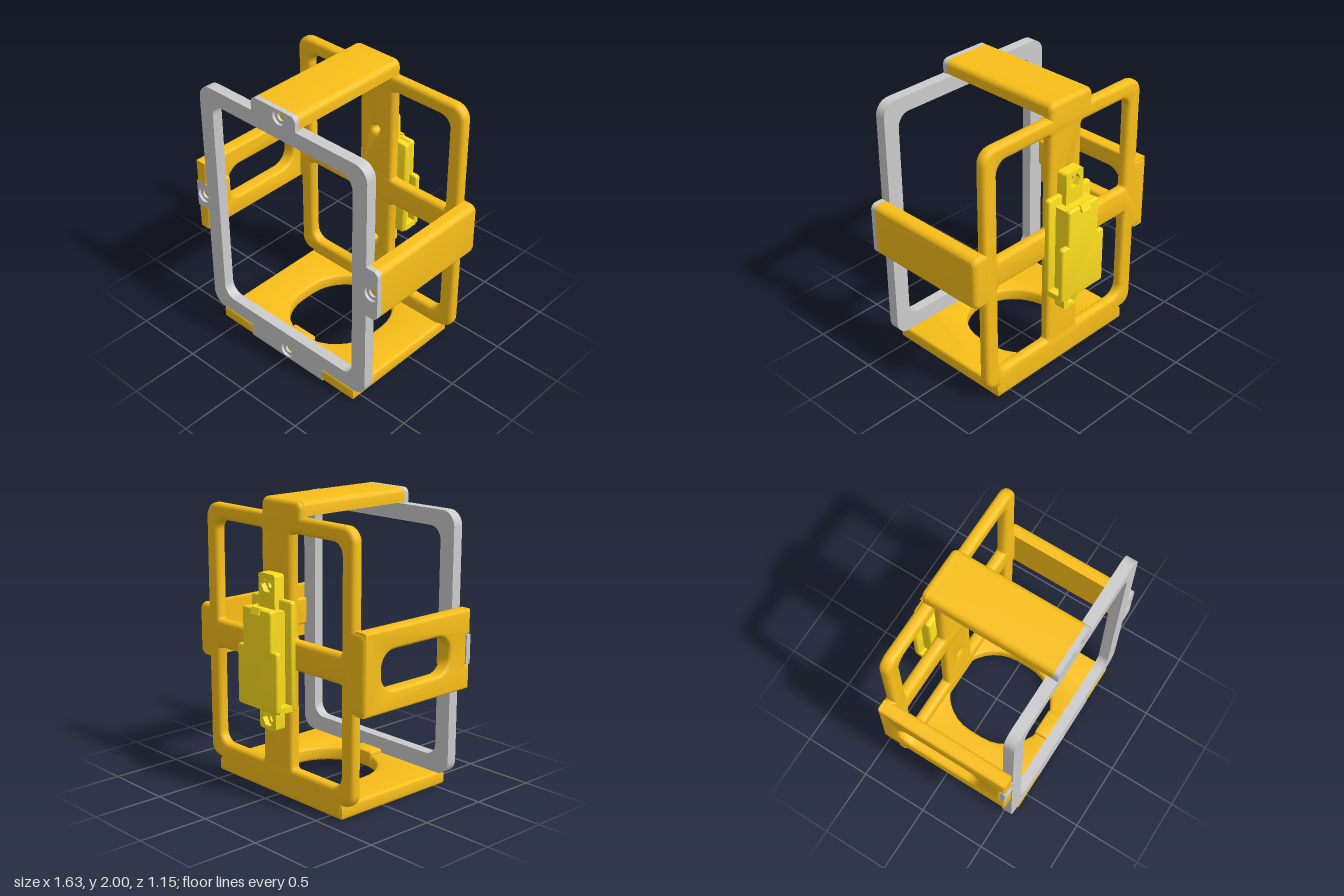
import * as THREE from 'three';
import { toCreasedNormals } from 'three/addons/utils/BufferGeometryUtils.js';

const grey = new THREE.MeshStandardMaterial({ color: 0xcccccc });
const orange = new THREE.MeshStandardMaterial({ color: 0xf9bf19 });
const yellow = new THREE.MeshStandardMaterial({ color: 0xfcdd1e });

// Trace a polygon of [x, y, cornerRadius] points
function outline(points, Type = THREE.Shape) {
  const path = new Type();
  const n = points.length;
  points.forEach(([x, y, r = 0], i) => {
    const toward = ([px, py]) => {
      const d = Math.hypot(px - x, py - y);
      return [x + (px - x) * r / d, y + (py - y) * r / d];
    };
    const a = toward(points[(i + n - 1) % n]);
    const b = toward(points[(i + 1) % n]);
    if (i) path.lineTo(...a);
    else path.moveTo(...a);
    if (r) {
      // arc approximated by a cubic
      const k = 0.5523;
      const mix = (p) => [p[0] + (x - p[0]) * k, p[1] + (y - p[1]) * k];
      path.bezierCurveTo(...mix(a), ...mix(b), ...b);
    }
  });
  path.closePath();
  return path;
}

const rect = (x0, x1, y0, y1, r, Type) =>
  outline([[x0, y0, r], [x1, y0, r], [x1, y1, r], [x0, y1, r]], Type);

const circle = (x, y, r) => new THREE.Path().absarc(x, y, r, 0, Math.PI * 2, true);

const hexagon = (x, y, r) => outline([0, 1, 2, 3, 4, 5].map((i) =>
  [x + r * Math.cos(i * Math.PI / 3), y + r * Math.sin(i * Math.PI / 3)]), THREE.Path);

// Extrude between two depths, with an optional rounded edge inside the outline
function slab(shape, holes, z0, z1, bevel = 0) {
  shape.holes = holes;
  const geo = new THREE.ExtrudeGeometry(shape, {
    depth: z1 - z0 - 2 * bevel, curveSegments: 8, bevelEnabled: bevel > 0,
    bevelSize: bevel, bevelThickness: bevel, bevelOffset: -bevel, bevelSegments: 3,
  });
  return geo.translate(0, 0, z0 + bevel);
}

export function createModel() {
  const model = new THREE.Group();
  const add = (name, geo, material, parent = model) => {
    const mesh = new THREE.Mesh(toCreasedNormals(geo, 0.6), material);
    mesh.name = name;
    parent.add(mesh);
  };
  const block = (x0, x1, y0, y1, z0, z1, b = 0.012) =>
    slab(rect(x0, x1, y0, y1, b ? b + 0.005 : 0), [], z0, z1, b);

  // Front bezel: plain ring behind, tabbed layers with counterbored screw holes in front
  const bezel = new THREE.Group();
  bezel.name = 'frontBezel';
  model.add(bezel);
  const bezelOutline = () => outline([
    [-0.34, 0], [0.34, 0], [0.34, 0.1], [0.72, 0.1, 0.1],
    [0.72, 0.81], [0.815, 0.81, 0.04], [0.815, 1.19, 0.04], [0.72, 1.19],
    [0.72, 1.9, 0.1], [0.14, 1.9], [0.14, 2, 0.04], [-0.24, 2, 0.04], [-0.24, 1.9],
    [-0.72, 1.9, 0.1], [-0.72, 1.1], [-0.82, 1.1], [-0.82, 0.9], [-0.72, 0.9],
    [-0.72, 0.1, 0.1], [-0.34, 0.1],
  ]);
  const opening = () => rect(-0.605, 0.605, 0.215, 1.79, 0.09, THREE.Path);
  const screws = [[0, 1.945], [0.76, 1], [-0.76, 1], [0, 0.06]];
  const screwHoles = (r) => screws.map(([x, y]) => circle(x, y, r));
  add('bezelRing', slab(rect(-0.72, 0.72, 0.1, 1.9, 0.1), [opening()], 0.5, 0.54), grey, bezel);
  add('bezelTabs', slab(bezelOutline(), [opening(), ...screwHoles(0.03)], 0.54, 0.557), grey, bezel);
  add('bezelFace', slab(bezelOutline(), [opening(), ...screwHoles(0.053)], 0.557, 0.576), grey, bezel);

  // Back frame: four windows around a cross, with stubs where the arms join
  const backOutline = outline([
    [-0.62, 0, 0.05], [0.62, 0, 0.05], [0.62, 0.1], [0.72, 0.1, 0.09],
    [0.72, 0.81], [0.815, 0.81, 0.05], [0.815, 1.19, 0.05], [0.72, 1.19],
    [0.72, 1.9, 0.1], [0.14, 1.9], [0.14, 2, 0.05], [-0.24, 2, 0.05], [-0.24, 1.9],
    [-0.72, 1.9, 0.1], [-0.72, 1.27], [-0.82, 1.27, 0.05], [-0.82, 0.73, 0.05], [-0.72, 0.73],
    [-0.72, 0.1, 0.09], [-0.62, 0.1],
  ]);
  const windows = [];
  for (const s of [-1, 1]) {
    for (const [inner, outer] of [[1.1, 1.79], [0.9, 0.215]]) {
      windows.push(outline([[s * 0.145, inner, 0.015], [s * 0.605, inner, 0.015],
        [s * 0.605, outer, 0.08], [s * 0.145, outer, 0.015]], THREE.Path));
    }
  }
  const rearHoles = [0.55, 1.45].map((y) => circle(0, y, 0.027));
  add('backFrame', slab(backOutline, [...windows, ...rearHoles], -0.39, -0.31, 0.028), orange);

  // Solid top and left arms
  add('topArm', slab(outline([[-0.24, 1.905], [0.14, 1.905], [0.14, 2, 0.04], [-0.24, 2, 0.04]]),
    [], -0.36, 0.54), orange);
  add('leftArm', slab(outline([[0.72, 0.81], [0.815, 0.81, 0.04], [0.815, 1.19, 0.04], [0.72, 1.19]]),
    [], -0.36, 0.54), orange);

  // Slotted right arm, drawn in z and y, notched for the bezel tab
  const rightOutline = outline([
    [-0.385, 0.73], [0.576, 0.73], [0.576, 0.9], [0.54, 0.9],
    [0.54, 1.1], [0.576, 1.1], [0.576, 1.27], [-0.385, 1.27],
  ]);
  add('rightArm', slab(rightOutline, [rect(-0.24, 0.38, 0.87, 1.13, 0.11, THREE.Path)], 0.72, 0.82, 0.02)
    .rotateY(-Math.PI / 2), orange);

  // Base plate, drawn in x and z, with a large oblong hole and a bezel notch
  const baseOutline = outline([
    [-0.62, -0.385], [0.62, -0.385], [0.62, 0.576], [0.34, 0.576],
    [0.34, 0.54], [-0.34, 0.54], [-0.34, 0.576], [-0.62, 0.576],
  ]);
  const baseHole = new THREE.Path();
  baseHole.absarc(0, 0.08, 0.33, 0, Math.PI, false);
  baseHole.absarc(0, -0.02, 0.33, Math.PI, Math.PI * 2, false);
  baseHole.closePath();
  add('basePlate', slab(baseOutline, [baseHole], -0.1, 0, 0.02).rotateX(Math.PI / 2), orange);

  // Screw bosses behind the bezel
  add('topBoss', block(-0.1, 0.1, 1.877, 1.95, 0.39, 0.5), orange);
  add('bottomBoss', block(-0.1, 0.1, 0.03, 0.13, 0.39, 0.5), orange);
  add('leftBoss', block(0.69, 0.76, 0.9, 1.1, 0.39, 0.5), orange);
  add('rightBoss', block(-0.76, -0.69, 0.9, 1.1, 0.39, 0.5), orange);

  // Rear clip: mounting strip with nut pockets, flange, core and lid
  const clip = new THREE.Group();
  clip.name = 'rearClip';
  model.add(clip);
  const strip = () => rect(-0.08, 0.08, 0.48, 1.525, 0.02);
  add('clipStrip', slab(strip(), [0.55, 1.45].map((y) => circle(0, y, 0.027)), -0.43, -0.39), yellow, clip);
  add('clipNutPockets', slab(strip(), [0.55, 1.45].map((y) => hexagon(0, y, 0.052)), -0.468, -0.43), yellow, clip);
  add('clipFlange', block(-0.197, 0.197, 0.64, 1.365, -0.432, -0.39), yellow, clip);
  add('clipCore', block(-0.135, 0.135, 0.65, 1.3, -0.53, -0.42, 0), yellow, clip);
  add('clipFloor', block(-0.195, 0.195, 0.64, 0.68, -0.53, -0.42, 0), yellow, clip);
  add('clipLid', slab(outline([
    [-0.197, 0.64, 0.02], [0.197, 0.64, 0.02], [0.197, 1.05, 0.02], [0.14, 1.05],
    [0.14, 1.31, 0.02], [-0.14, 1.31, 0.02], [-0.14, 1.05], [-0.197, 1.05, 0.02],
  ]), [], -0.556, -0.515, 0.012), yellow, clip);
  // Wedge latch drawn in z and y
  add('clipLatch', slab(outline([[-0.575, 1.275], [-0.54, 1.275], [-0.54, 1.318], [-0.558, 1.318]]),
    [], -0.04, 0.04).rotateY(-Math.PI / 2), yellow, clip);

  return model;
}
